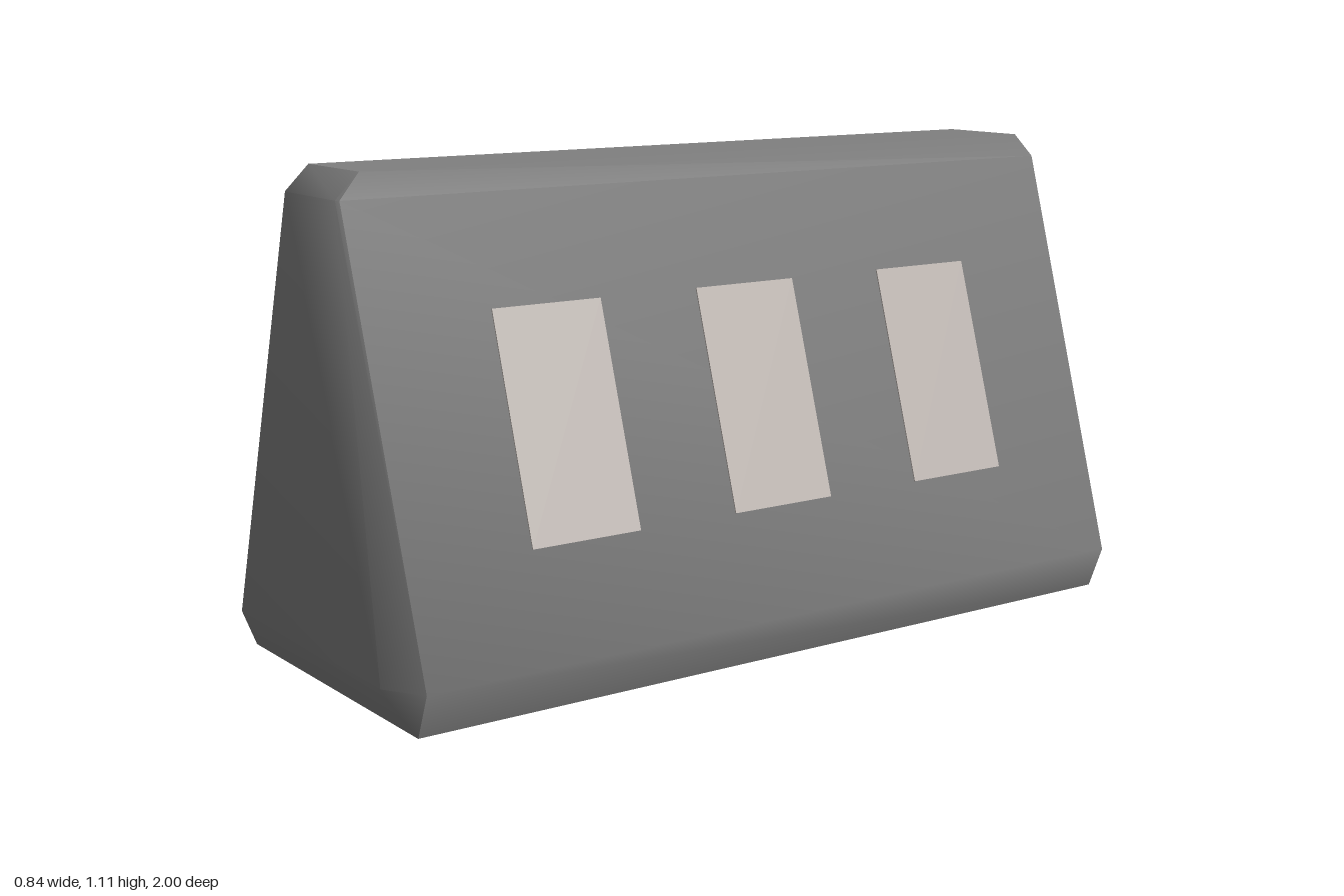
import * as THREE from 'three';
import { toCreasedNormals } from 'three/addons/utils/BufferGeometryUtils.js';

// Eight-cornered horizontal section: long sides at x = ±sx, bulging ends at z = ±ez
function section([y, sx, sz, ex, ez]) {
  return [[sx, -sz], [sx, sz], [ex, ez], [-ex, ez], [-sx, sz], [-sx, -sz], [-ex, -ez], [ex, -ez]]
    .map(([x, z]) => new THREE.Vector3(x, y, z));
}

function loft(levels) {
  const rings = levels.map(section);
  const points = [];
  const tri = (a, b, c) => {
    const area = b.clone().sub(a).cross(c.clone().sub(a)).length();
    if (area > 1e-7) points.push(a, b, c);
  };
  // Walls
  for (let r = 0; r < rings.length - 1; r++) {
    for (let i = 0; i < 8; i++) {
      const j = (i + 1) % 8;
      const lo = rings[r], hi = rings[r + 1];
      tri(lo[i], hi[i], hi[j]);
      tri(lo[i], hi[j], lo[j]);
    }
  }
  // Base and top
  const base = rings[0], top = rings[rings.length - 1];
  for (let i = 1; i < 7; i++) {
    tri(base[0], base[i], base[i + 1]);
    tri(top[0], top[i + 1], top[i]);
  }
  const geometry = new THREE.BufferGeometry().setFromPoints(points);
  return toCreasedNormals(geometry, THREE.MathUtils.degToRad(45));
}

export function createModel() {
  const group = new THREE.Group();
  const bodyGrey = new THREE.MeshStandardMaterial({ name: 'bodyGrey', color: 0x808080 });
  const panelGrey = new THREE.MeshStandardMaterial({ name: 'panelGrey', color: 0xc0b8b3 });

  // Tapered body with bevelled foot and top: y, side x, side z, end x, end z
  const body = new THREE.Mesh(loft([
    [0, 0.38, 0.945, 0.38, 0.945],
    [0.1, 0.42, 0.945, 0.33, 1.0],
    [1.05, 0.125, 0.955, 0.115, 0.96],
    [1.105, 0.115, 0.905, 0.115, 0.905],
  ]), bodyGrey);
  body.name = 'body';
  group.add(body);

  // Three light panels lying on each sloping side
  const tilt = Math.atan2(0.295, 0.95);
  const panelGeometry = new THREE.BoxGeometry(0.006, 0.503, 0.268);
  for (const side of [1, -1]) {
    for (const z of [-0.52, 0, 0.52]) {
      const panel = new THREE.Mesh(panelGeometry, panelGrey);
      panel.name = side > 0 ? 'leftPanel' : 'rightPanel';
      panel.position.set(side * 0.2725, 0.575, z);
      panel.rotation.z = side * tilt;
      group.add(panel);
    }
  }
  return group;
}
